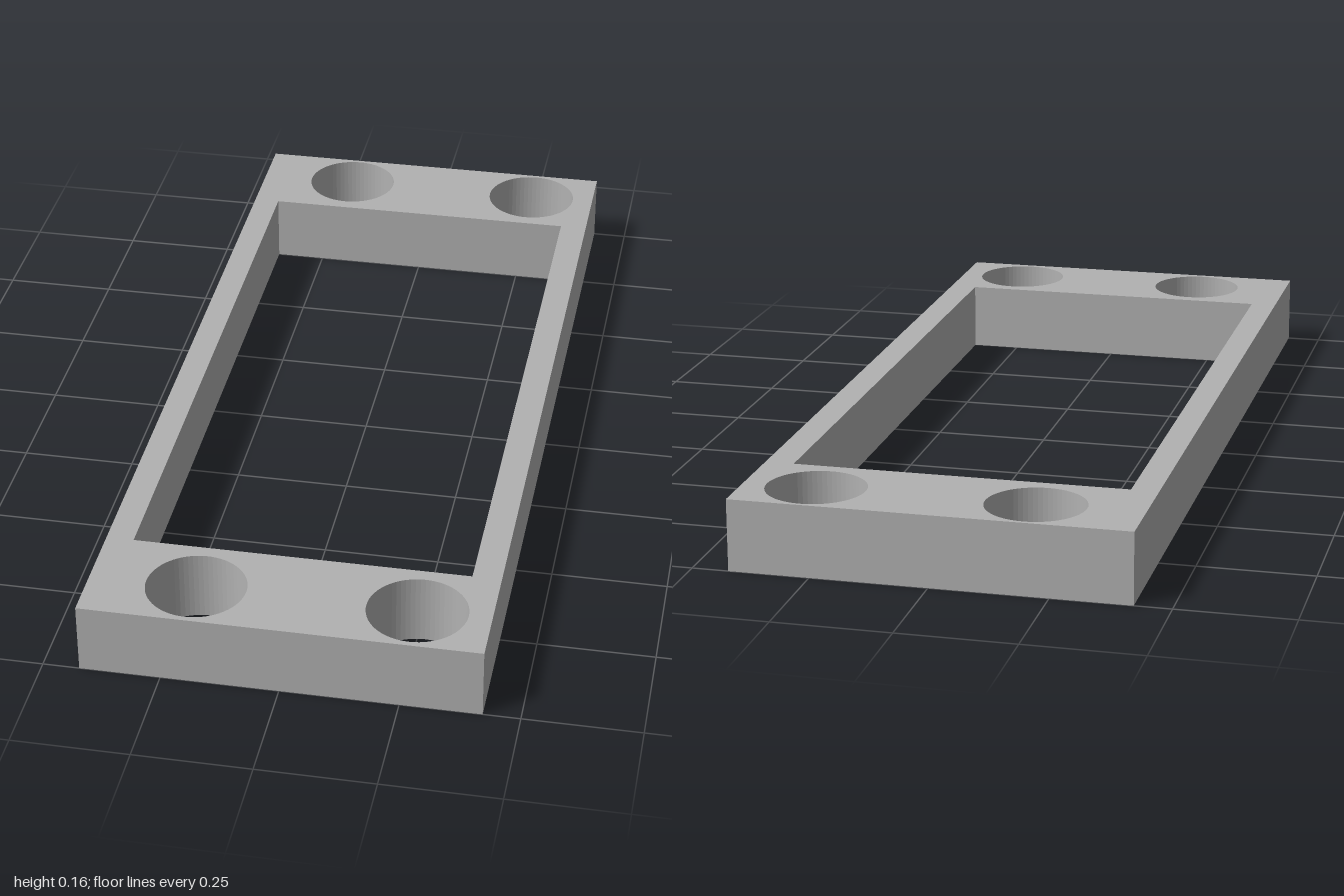
import * as THREE from 'three';

const HEIGHT = 0.155;

// closed rectangle outline from opposite corners (shape y = -z)
function rectangle(path, x0, y0, x1, y1) {
  path.moveTo(x0, y0);
  path.lineTo(x1, y0);
  path.lineTo(x1, y1);
  path.lineTo(x0, y1);
  path.closePath();
  return path;
}

export function createModel() {
  const group = new THREE.Group();
  group.name = 'mountingFrame';

  const grey = new THREE.MeshStandardMaterial({ color: 0xb2b2b2 });
  grey.name = 'grey';

  // outer plate with the large rectangular window
  const plate = rectangle(new THREE.Shape(), -0.422, -1, 0.422, 1);
  plate.holes.push(rectangle(new THREE.Path(), -0.363, -0.747, 0.36, 0.75));

  // two round holes at each end, offset towards +x
  for (const x of [-0.196, 0.267]) {
    for (const y of [-0.882, 0.886]) {
      const hole = new THREE.Path();
      hole.absarc(x, y, 0.106, 0, Math.PI * 2, true);
      plate.holes.push(hole);
    }
  }

  const geometry = new THREE.ExtrudeGeometry(plate, {
    depth: HEIGHT,
    bevelEnabled: false,
    curveSegments: 32,
  });
  geometry.rotateX(-Math.PI / 2);

  const frame = new THREE.Mesh(geometry, grey);
  frame.name = 'frame';
  group.add(frame);
  return group;
}
